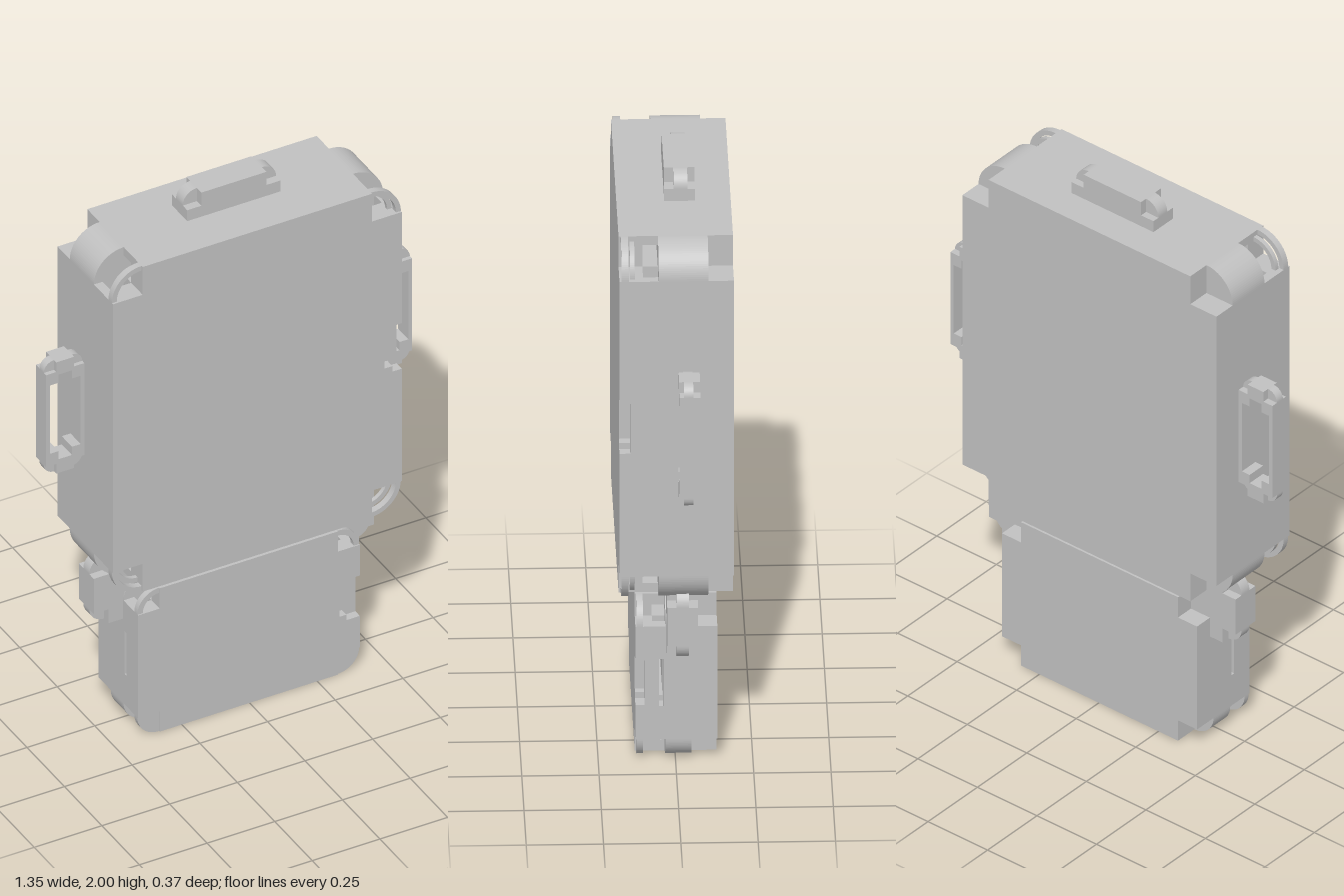
import * as THREE from 'three';

const casing = new THREE.MeshStandardMaterial({ color: 0xc0c0c0 });
casing.name = 'casing grey';

function poly(points) {
  return new THREE.Shape(points.map(([x, y]) => new THREE.Vector2(x, y)));
}

// Rectangle with square corners cut away; recess = [yLow, yHigh, lipDepth, fullDepth, lip] in the right edge
function notched(x0, x1, y0, y1, c, recess) {
  const p = [[x0 + c, y0], [x1 - c, y0], [x1 - c, y0 + c], [x1, y0 + c]];
  if (recess) {
    const [a, b, d, e, s] = recess;
    p.push([x1, a], [x1 - d, a], [x1 - d, a + s], [x1 - e, a + s],
      [x1 - e, b - s], [x1 - d, b - s], [x1 - d, b], [x1, b]);
  }
  p.push([x1, y1 - c], [x1 - c, y1 - c], [x1 - c, y1], [x0 + c, y1],
    [x0 + c, y1 - c], [x0, y1 - c], [x0, y0 + c], [x0 + c, y0 + c]);
  return poly(p);
}

function rounded(x0, x1, y0, y1, r) {
  const s = new THREE.Shape();
  s.absarc(x1 - r, y1 - r, r, 0, Math.PI / 2);
  s.absarc(x0 + r, y1 - r, r, Math.PI / 2, Math.PI);
  s.absarc(x0 + r, y0 + r, r, Math.PI, Math.PI * 1.5);
  s.absarc(x1 - r, y0 + r, r, Math.PI * 1.5, Math.PI * 2);
  s.closePath();
  return s;
}

// Quarter ring, or a quarter disc when the inner radius is zero
function quarter(cx, cy, inner, outer, start) {
  const s = new THREE.Shape();
  s.absarc(cx, cy, outer, start, start + Math.PI / 2);
  if (inner > 0) s.absarc(cx, cy, inner, start + Math.PI / 2, start, true);
  else s.lineTo(cx, cy);
  s.closePath();
  return s;
}

function rect(x0, x1, y0, y1) {
  return poly([[x0, y0], [x1, y0], [x1, y1], [x0, y1]]);
}

// Slab of a shape between two depths
function slab(group, name, shape, z0, z1) {
  const geo = new THREE.ExtrudeGeometry(shape, { depth: z1 - z0, bevelEnabled: false, curveSegments: 12 });
  geo.translate(0, 0, z0);
  const mesh = new THREE.Mesh(geo, casing);
  mesh.name = name;
  group.add(mesh);
}

function named(parent, name) {
  const g = new THREE.Group();
  g.name = name;
  parent.add(g);
  return g;
}

// Layered box: notched back, rounded core, channelled layer, notched front
function layeredBox(parent, name, o) {
  const g = named(parent, name);
  const { x0, x1, y0, y1, c, wall, z, recess, recessZ, slit } = o;
  slab(g, 'backLayer', notched(x0, x1, y0, y1, c), z[0], z[1]);
  slab(g, 'roundedCore', rounded(x0, x1, y0, y1, c), z[1], z[2]);
  // Inner block and four thin outer walls leave a channel between the corner notches
  const channel = (za, zb, spans) => {
    for (const [a, b] of spans) {
      slab(g, 'innerBlock', rect(x0 + c, x1 - c, a, b), za, zb);
      slab(g, 'leftWall', rect(x1 - wall, x1, a, b), za, zb);
      slab(g, 'rightWall', rect(x0, x0 + wall, a, b), za, zb);
    }
    slab(g, 'topWall', rect(x0 + c, x1 - c, y1 - wall, y1), za, zb);
    slab(g, 'bottomWall', rect(x0 + c, x1 - c, y0, y0 + wall), za, zb);
  };
  const full = [[y0 + c, y1 - c]];
  if (slit) {
    channel(z[2], slit[2], full);
    channel(slit[2], slit[3], [[y0 + c, slit[0]], [slit[1], y1 - c]]);
    channel(slit[3], z[3], full);
  } else channel(z[2], z[3], full);
  slab(g, 'frontLayer', notched(x0, x1, y0, y1, c), z[3], recessZ);
  slab(g, 'frontFace', notched(x0, x1, y0, y1, c, recess), recessZ, z[4]);
  // Corner centres, counter-clockwise from upper +x
  return [[x1 - c, y1 - c], [x0 + c, y1 - c], [x0 + c, y0 + c], [x1 - c, y0 + c]];
}

// Thin bracket: rounded middle between two notched outer layers, optional plus-shaped hole
function bracket(parent, name, b, c, z, hole) {
  const g = named(parent, name);
  const layers = [notched(...b, c), rounded(...b, c), notched(...b, c)];
  layers.forEach((s, i) => {
    if (hole) s.holes.push(notched(...hole, c * 0.85));
    slab(g, ['backLayer', 'middleLayer', 'frontLayer'][i], s, z[i], z[i + 1]);
  });
}

export function createModel() {
  const model = new THREE.Group();
  model.name = 'layeredCase';

  // Main case
  const corners = layeredBox(model, 'mainCase', {
    x0: -0.535, x1: 0.532, y0: 0.62, y1: 1.905, c: 0.11, wall: 0.032,
    z: [-0.185, -0.103, 0.058, 0.108, 0.185],
    recess: [1.175, 1.355, 0.035, 0.065, 0.022], recessZ: 0.15,
  });
  corners.forEach(([x, y], i) => {
    const a = i * Math.PI / 2;
    slab(model, 'outerCornerRing', quarter(x, y, 0.092, 0.11, a), 0.155, 0.178);
    slab(model, 'innerCornerRing', quarter(x, y, 0.075, 0.092, a), 0.135, 0.15);
  });

  // Lower case with a slit through its sides
  const lower = layeredBox(model, 'lowerCase', {
    x0: -0.412, x1: 0.407, y0: 0, y1: 0.567, c: 0.08, wall: 0.04,
    z: [-0.135, -0.052, 0.033, 0.075, 0.13],
    recess: [0.205, 0.365, 0.05, 0.075, 0.022], recessZ: 0.1,
    slit: [0.2, 0.37, 0.04, 0.053],
  });
  lower.forEach(([x, y], i) => {
    const a = i * Math.PI / 2;
    slab(model, 'lowerCornerPlate', quarter(x, y, i < 2 ? 0.06 : 0, 0.08, a), 0.105, 0.126);
  });

  // Top tab
  bracket(model, 'topTab', [-0.175, 0.17, 1.85, 2], 0.052, [-0.07, -0.045, 0.0, 0.03]);

  // Side loops
  for (const s of [-1, 1]) {
    const x = s < 0 ? [-0.677, -0.535] : [0.53, 0.675];
    bracket(model, s < 0 ? 'rightLoop' : 'leftLoop', [...x, 1.043, 1.483], 0.038,
      [-0.073, -0.05, -0.02, -0.005], [x[0] + 0.014, x[1] - 0.014, 1.097, 1.432]);
    // Connector ears between the two cases
    const e = s < 0 ? [-0.52, -0.175] : [0.17, 0.515];
    bracket(model, s < 0 ? 'rightEar' : 'leftEar', [...e, 0.413, 0.662], 0.055, [-0.07, -0.04, 0.0, 0.03],
      s > 0 ? null : undefined);
  }
  return model;
}
